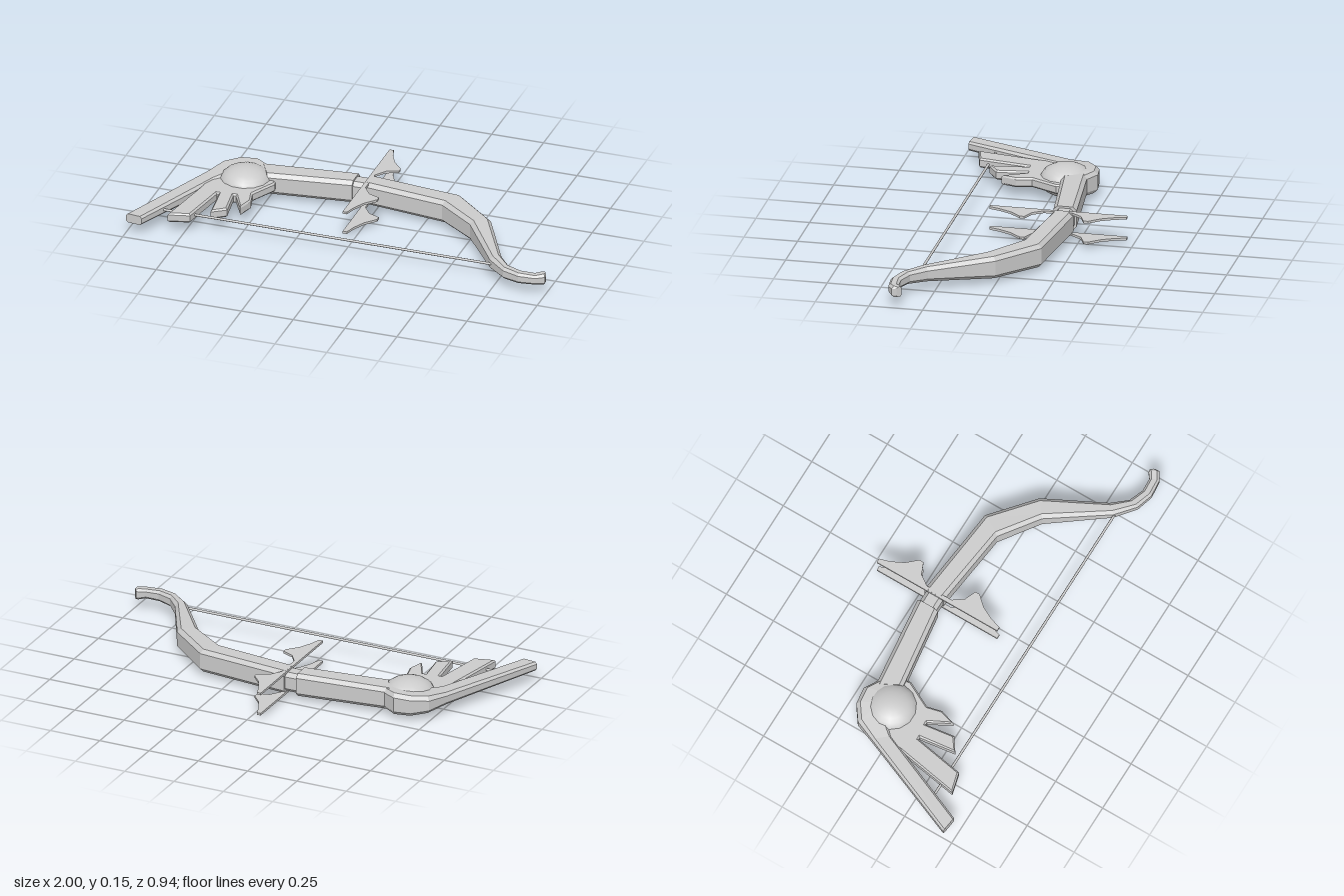
import * as THREE from 'three';

const MID = 0.078; // height of the bow's middle plane
const flat = new THREE.MeshStandardMaterial({ color: 0xcccccc, flatShading: true });
const smooth = new THREE.MeshStandardMaterial({ color: 0xcccccc });

// Chamfered beam through sections [leftX, leftZ, rightX, rightZ, halfHeight]
function beam(sections) {
  const rings = sections.map(([bx, bz, fx, fz, h]) => {
    const w = Math.hypot(fx - bx, fz - bz);
    const c = Math.min(0.018, w * 0.28, h * 0.45);
    const k = c / w;
    return [[0, c - h], [0, h - c], [k, h], [1 - k, h], [1, h - c], [1, c - h], [1 - k, -h], [k, -h]]
      .map(([t, y]) => [bx + (fx - bx) * t, MID + y, bz + (fz - bz) * t]);
  });
  const pos = [];
  const tri = (...pts) => pts.forEach((p) => pos.push(...p));
  const n = 8;
  for (let i = 0; i + 1 < rings.length; i++) {
    for (let j = 0; j < n; j++) {
      const k = (j + 1) % n, p = rings[i], q = rings[i + 1];
      tri(p[j], p[k], q[k]);
      tri(p[j], q[k], q[j]);
    }
  }
  const a = rings[0], b = rings[rings.length - 1];
  for (let j = 1; j < n - 1; j++) {
    tri(a[0], a[j + 1], a[j]);
    tri(b[0], b[j], b[j + 1]);
  }
  const g = new THREE.BufferGeometry();
  g.setAttribute('position', new THREE.Float32BufferAttribute(pos, 3));
  g.computeVertexNormals();
  return g;
}

// Horizontal plate from an outline of [x, z] points
function plate(outline, y, thickness, bevel = 0) {
  const shape = new THREE.Shape(outline.map(([x, z]) => new THREE.Vector2(x, -z)));
  const g = new THREE.ExtrudeGeometry(shape, {
    depth: thickness - 2 * bevel, bevelEnabled: bevel > 0,
    bevelSize: bevel, bevelThickness: bevel, bevelOffset: -bevel, bevelSegments: 1,
  });
  g.rotateX(-Math.PI / 2);
  g.translate(0, y - thickness / 2 + bevel, 0);
  return g;
}

export function createModel() {
  const group = new THREE.Group();
  const add = (name, geometry, material = flat) => {
    const mesh = new THREE.Mesh(geometry, material);
    mesh.name = name;
    group.add(mesh);
    return mesh;
  };

  // Straight limb, grip and curved limb
  add('straightLimb', beam([
    [-0.56, -0.17, -0.5, -0.06, 0.053],
    [-0.11, -0.22, -0.11, -0.112, 0.056],
  ]));
  add('grip', beam([
    [-0.13, -0.21, -0.13, -0.122, 0.047],
    [-0.03, -0.21, -0.03, -0.122, 0.047],
  ]));
  add('curvedLimb', beam([
    [-0.05, -0.22, -0.05, -0.118, 0.056],
    [0.4, -0.17, 0.34, -0.07, 0.056],
    [0.6, 0, 0.52, 0.06, 0.053],
    [0.75, 0.28, 0.71, 0.325, 0.035],
    [0.81, 0.35, 0.8, 0.4, 0.029],
    [0.88, 0.377, 0.88, 0.425, 0.026],
    [0.945, 0.374, 0.96, 0.418, 0.023],
    [0.97, 0.355, 1.0, 0.395, 0.027],
    [0.982, 0.352, 0.998, 0.372, 0.024],
  ]));

  // Wing: thick leading edge, feathers and domed hub
  add('wingLeadingEdge', beam([
    [-1, 0.455, -0.92, 0.465, 0.022],
    [-0.79, -0.05, -0.73, 0.02, 0.03],
    [-0.75, -0.15, -0.66, -0.06, 0.042],
    [-0.68, -0.2, -0.62, -0.1, 0.05],
    [-0.6, -0.21, -0.57, -0.1, 0.053],
    [-0.53, -0.17, -0.51, -0.08, 0.05],
  ]));
  add('wingFeathers', plate([
    [-0.78, -0.05], [-0.765, 0.08], [-0.82, 0.395], [-0.72, 0.37],
    [-0.677, 0.13], [-0.668, 0.13], [-0.645, 0.305], [-0.58, 0.26],
    [-0.6, 0.12], [-0.588, 0.12], [-0.53, 0.225], [-0.505, 0.15],
    [-0.522, 0.08], [-0.458, -0.045], [-0.465, -0.075], [-0.6, -0.15], [-0.73, -0.13],
  ], MID, 0.046, 0.008));
  const hub = add('wingHub', new THREE.SphereGeometry(1, 14, 14), smooth);
  hub.scale.set(0.122, 0.077, 0.122);
  hub.position.set(-0.605, MID, -0.06);

  // Twin blade plates above and below the grip, mirrored about the limb
  const half = [
    [-0.035, 0.065], [0, 0.115], [0.055, 0.138], [0.055, 0.16],
    [0.01, 0.21], [-0.02, 0.27], [-0.035, 0.32], [-0.055, 0.32],
  ];
  const outline = [
    ...half.map(([x, d]) => [x, -0.15 + d]),
    ...half.slice().reverse().map(([x, d]) => [x, -0.15 - d]),
  ];
  add('lowerBlade', plate(outline, 0.027, 0.011));
  add('upperBlade', plate(outline, 0.128, 0.011));

  // Bowstring
  const string = add('bowstring', new THREE.CylinderGeometry(0.006, 0.006, 1.6, 8), smooth);
  string.rotation.z = Math.PI / 2;
  string.position.set(-0.08, MID, 0.326);

  return group;
}
